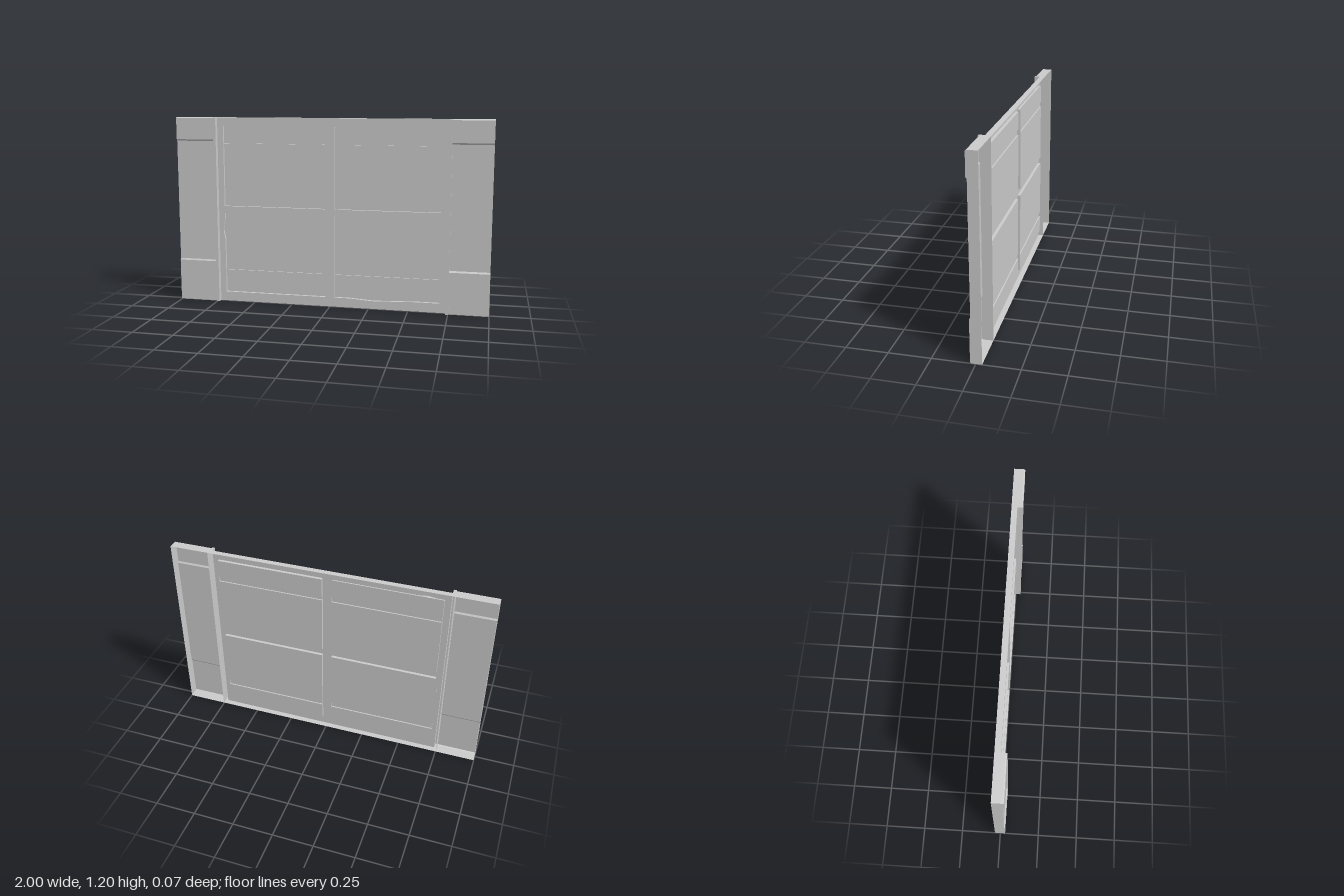
import * as THREE from 'three';

const material = new THREE.MeshStandardMaterial({ color: 0xcccccc, side: THREE.DoubleSide, flatShading: true });
const HEIGHT = 1.2, BACK = -0.035, FACE = 0, PANE = -0.018, BAR = -0.01;
const INNER = 0.735, RIB = 0.753, RIB_FRONT = 0.035;

// Sweeps a path of [x, y, z] points along an offset, giving a thin folded sheet.
function sheet(name, path, offset) {
  const pos = [];
  for (let i = 0; i < path.length - 1; i++) {
    const a = path[i], b = path[i + 1];
    const c = b.map((v, k) => v + offset[k]), d = a.map((v, k) => v + offset[k]);
    pos.push(...a, ...b, ...c, ...a, ...c, ...d);
  }
  const g = new THREE.BufferGeometry();
  g.setAttribute('position', new THREE.Float32BufferAttribute(pos, 3));
  g.computeVertexNormals();
  const mesh = new THREE.Mesh(g, material);
  mesh.name = name;
  return mesh;
}

const toVectors = (pts) => pts.map(([x, y]) => new THREE.Vector2(x, y));

function flat(name, outline, holes = []) {
  const shape = new THREE.Shape(toVectors(outline));
  holes.forEach((h) => shape.holes.push(new THREE.Path(toVectors(h))));
  const mesh = new THREE.Mesh(new THREE.ShapeGeometry(shape), material);
  mesh.name = name;
  return mesh;
}

// Four openings; three of them have a chipped edge.
const X0 = 0.03, X1 = 0.697;
const openings = [
  { name: 'upperRight', pts: [[-X1, 0.63], [-X0, 0.63], [-X0, 1.145], [-0.54, 1.145], [-0.6, 1.152], [-0.65, 1.145], [-X1, 1.145]], bar: [1.0, 1.035] },
  { name: 'upperLeft', pts: [[X0, 0.63], [X1, 0.63], [X1, 1.145], [X0, 1.145]], bar: [1.0, 1.035] },
  { name: 'lowerRight', pts: [[-X1, 0.06], [-X0, 0.06], [-X0, 0.585], [-X1, 0.585], [-X1, 0.545], [-0.708, 0.47], [-X1, 0.41]], bar: [0.172, 0.208] },
  { name: 'lowerLeft', pts: [[X0, 0.06], [0.13, 0.06], [0.28, 0.05], [0.55, 0.06], [X1, 0.06], [X1, 0.585], [X0, 0.585]], bar: [0.172, 0.208] },
];

// Front profile of a side panel as [y, z]
const sideProfile = [
  [0, BACK], [0, 0.025], [0.005, 0.032], [0.268, 0.032], [0.278, 0.025],
  [1.05, 0.025], [1.06, 0.032], [1.195, 0.032], [HEIGHT, 0.025], [HEIGHT, BACK],
];

function sideSection(s) {
  const group = new THREE.Group();
  group.name = s > 0 ? 'leftSection' : 'rightSection';
  group.add(sheet('sidePanel', sideProfile.map(([y, z]) => [s * RIB, y, z]), [s * (1 - RIB), 0, 0]));

  // End wall at the outer edge
  const end = flat('outerWall', sideProfile.map(([y, z]) => [-z, y]));
  end.rotation.y = Math.PI / 2;
  end.position.x = s;
  group.add(end);

  // Upright rib, hollow behind, with its caps
  group.add(sheet('rib', [
    [s * RIB, 0, BACK], [s * RIB, 0, RIB_FRONT], [s * INNER, 0, RIB_FRONT], [s * INNER, 0, FACE],
  ], [0, HEIGHT, 0]));
  for (const y of [0, HEIGHT]) {
    group.add(sheet('ribCap', [[s * INNER, y, BACK], [s * INNER, y, RIB_FRONT]], [s * (RIB - INNER), 0, 0]));
  }
  return group;
}

export function createModel() {
  const model = new THREE.Group();
  model.name = 'panelledWall';

  // Central frame and its top and bottom returns
  const frame = flat('frame',
    [[-INNER, 0], [INNER, 0], [INNER, HEIGHT], [-INNER, HEIGHT]], openings.map((o) => o.pts));
  frame.position.z = FACE;
  model.add(frame);
  for (const y of [0, HEIGHT]) {
    model.add(sheet(y ? 'topEdge' : 'bottomEdge', [[-INNER, y, BACK], [-INNER, y, FACE]], [2 * INNER, 0, 0]));
  }

  // Recessed panes, each with a raised horizontal bar
  for (const { name, pts, bar } of openings) {
    const group = new THREE.Group();
    group.name = name + 'Pane';
    group.add(sheet('reveal', [...pts, pts[0]].map(([x, y]) => [x, y, PANE]), [0, 0, FACE - PANE]));
    const xs = pts.map((p) => p[0]), ys = pts.map((p) => p[1]);
    const left = Math.min(...xs), width = Math.max(...xs) - left;
    const profile = [
      [Math.min(...ys), PANE], [bar[0], PANE], [bar[0], BAR],
      [bar[1], BAR], [bar[1], PANE], [Math.max(...ys), PANE],
    ];
    group.add(sheet('pane', profile.map(([y, z]) => [left, y, z]), [width, 0, 0]));
    model.add(group);
  }

  model.add(sideSection(1), sideSection(-1));
  return model;
}
